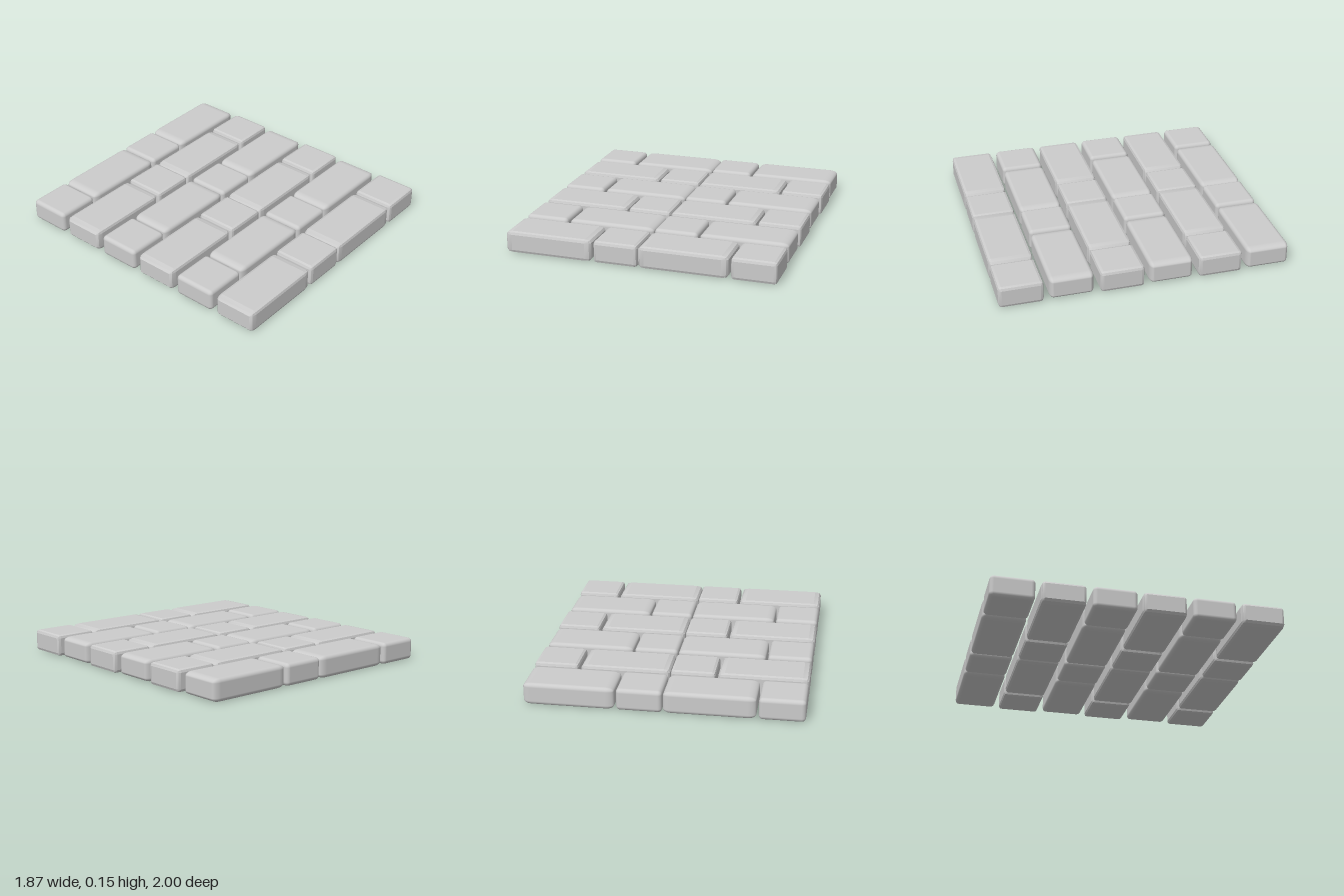
import * as THREE from 'three';
import { RoundedBoxGeometry } from 'three/addons/geometries/RoundedBoxGeometry.js';
import { toCreasedNormals } from 'three/addons/utils/BufferGeometryUtils.js';

const HEIGHT = 0.152, DEPTH = 0.3, SHORT = 0.305, LONG = 0.61, PITCH = 0.34;

// Left edge and length of each brick, for the two alternating courses
const SOFT_COURSE = [[-0.935, SHORT], [-0.615, LONG], [0, SHORT], [0.318, LONG]];
const SHARP_COURSE = [[-0.935, LONG], [-0.308, SHORT], [0.002, LONG], [0.63, SHORT]];

export function createModel() {
  const group = new THREE.Group();
  group.name = 'brickPaving';
  const material = new THREE.MeshStandardMaterial({ color: 0xcccccc });

  // One short brick with soft edges and one with crisp bevels
  const softBrick = new RoundedBoxGeometry(SHORT, HEIGHT, DEPTH, 3, 0.028);
  const sharpBrick = toCreasedNormals(new RoundedBoxGeometry(SHORT, HEIGHT, DEPTH, 1, 0.022), 0.3);

  // Six courses from back to front; long bricks are stretched short ones
  for (let row = 0; row < 6; row++) {
    const sharp = row % 2 === 1;
    const course = new THREE.Group();
    course.name = `course${row + 1}`;
    course.position.z = (row - 2.5) * PITCH;
    for (const [x, length] of sharp ? SHARP_COURSE : SOFT_COURSE) {
      const brick = new THREE.Mesh(sharp ? sharpBrick : softBrick, material);
      brick.name = length === LONG ? 'longBrick' : 'shortBrick';
      brick.scale.x = length / SHORT;
      brick.position.set(x + length / 2, HEIGHT / 2, 0);
      course.add(brick);
    }
    group.add(course);
  }
  return group;
}
